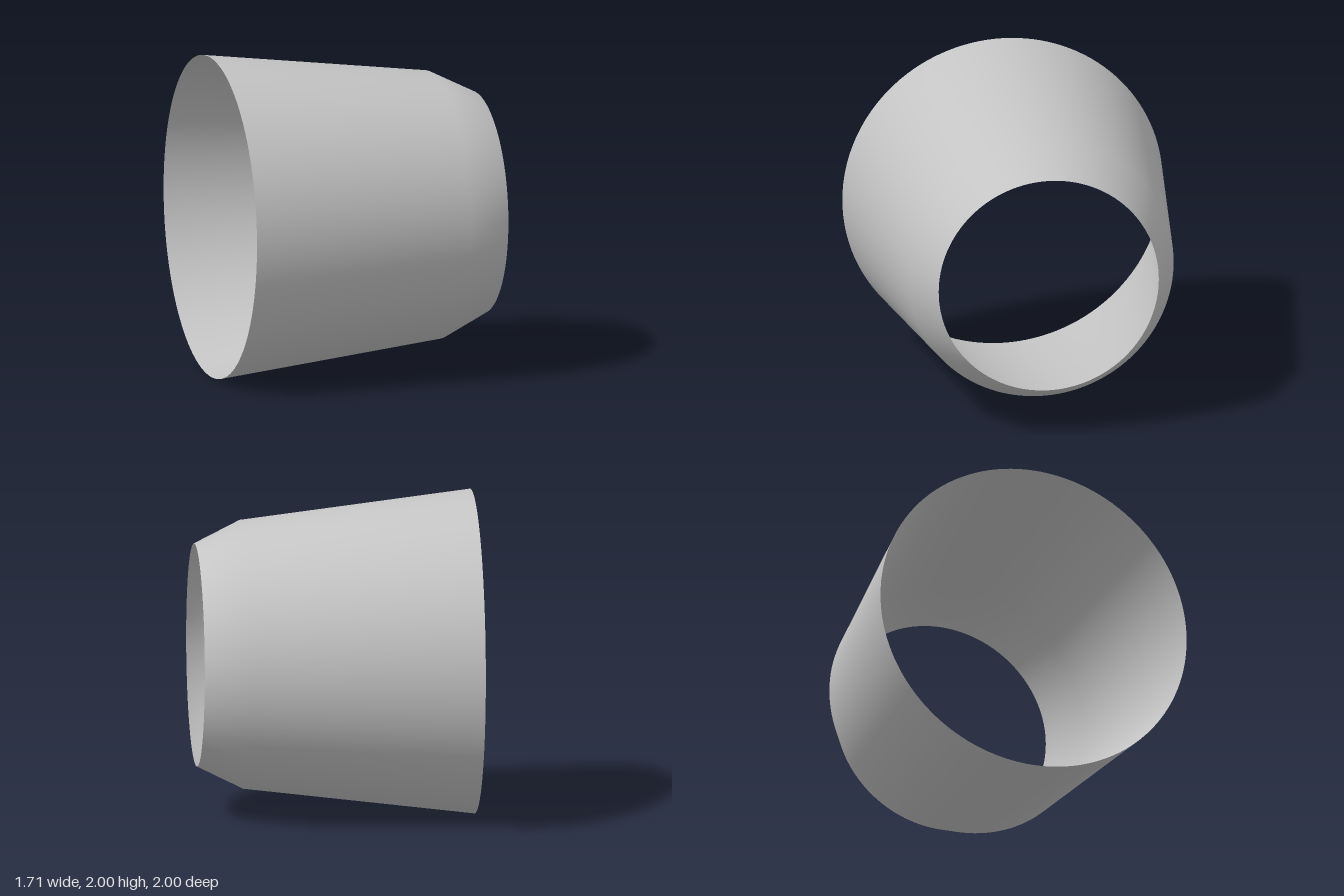
import * as THREE from 'three';

export function createModel() {
  const group = new THREE.Group();
  group.name = 'taperedSleeve';

  const grey = new THREE.MeshStandardMaterial({ color: 0xc4c4c4, side: THREE.DoubleSide });
  grey.name = 'light grey';

  // Open-ended shell: long gentle taper, then a steeper collar
  const profile = [[1, -0.855], [0.828, 0.57], [0.687, 0.855]]
    .map(([radius, along]) => new THREE.Vector2(radius, along));
  const geometry = new THREE.LatheGeometry(profile, 128);

  // Lay the axis along x with the narrow end at +x
  geometry.rotateZ(-Math.PI / 2);
  geometry.translate(0, 1, 0);

  const shell = new THREE.Mesh(geometry, grey);
  shell.name = 'shell';
  group.add(shell);
  return group;
}
